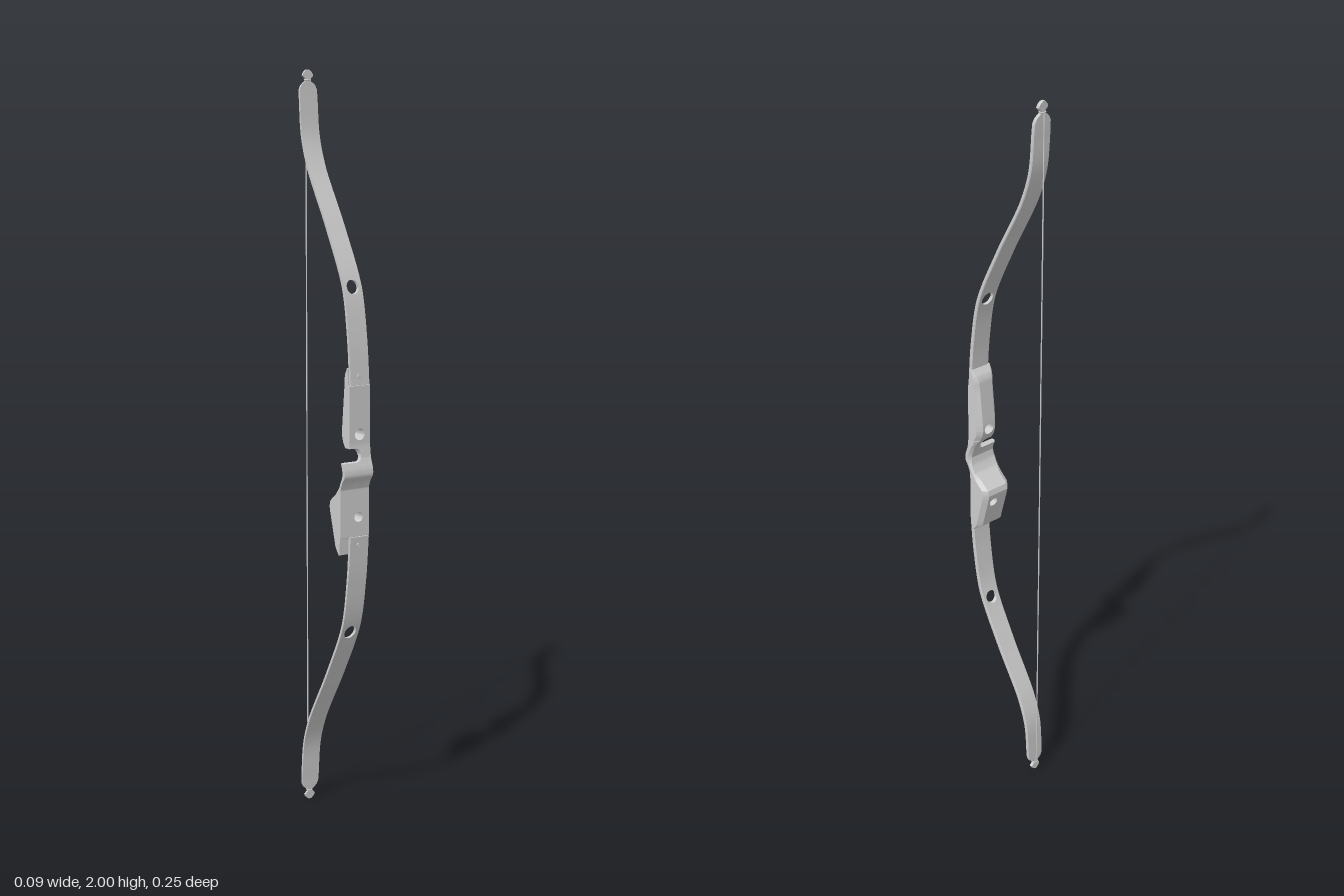
import * as THREE from 'three';
import { toCreasedNormals } from 'three/addons/utils/BufferGeometryUtils.js';

const material = new THREE.MeshStandardMaterial({ color: 0xcccccc, side: THREE.DoubleSide });

// Linear lookup in a table of [key, value] pairs with rising keys
function lookup(table, k) {
  if (k <= table[0][0]) return table[0][1];
  for (let i = 1; i < table.length; i++) {
    const [a, va] = table[i - 1], [b, vb] = table[i];
    if (k <= b) return va + (vb - va) * (k - a) / (b - a);
  }
  return table[table.length - 1][1];
}

// Closed solid through cross-sections of equal point count, stacked upwards
function loft(sections) {
  const pos = [], n = sections[0].length;
  const tri = (a, b, c) => pos.push(...a, ...b, ...c);
  for (let i = 0; i + 1 < sections.length; i++) {
    const lo = sections[i], hi = sections[i + 1];
    for (let j = 0; j < n; j++) {
      const k = (j + 1) % n;
      tri(lo[j], lo[k], hi[k]);
      tri(lo[j], hi[k], hi[j]);
    }
  }
  const bottom = sections[0], top = sections[sections.length - 1];
  for (let j = 1; j + 1 < n; j++) {
    tri(bottom[0], bottom[j + 1], bottom[j]);
    tri(top[0], top[j], top[j + 1]);
  }
  const geo = new THREE.BufferGeometry();
  geo.setAttribute('position', new THREE.Float32BufferAttribute(pos, 3));
  return toCreasedNormals(geo, 0.45);
}

// Heights for the rows: even steps, given break heights and fine steps at round holes
function rowHeights(y0, y1, count, breaks, holes) {
  const ys = [...breaks];
  for (let i = 0; i <= count; i++) ys.push(y0 + (y1 - y0) * i / count);
  for (const h of holes)
    for (let k = 0; k <= 12; k++) ys.push(h.y + h.r * Math.cos(Math.PI * k / 12));
  ys.sort((a, b) => a - b);
  return ys.filter((y, i) => y >= y0 && y <= y1 && (i === 0 || y - ys[i - 1] > 1e-6));
}

// Two side strips that meet in the middle and part around the holes.
// rule(y) gives { l, r, mid, front, back, bevel }
function splitBody(name, ys, holes, rule) {
  const left = [], right = [];
  for (const y of ys) {
    const { l, r, mid, front, back, bevel } = rule(y);
    let gap = 0;
    for (const h of holes) gap = Math.max(gap, Math.sqrt(Math.max(0, h.r ** 2 - (y - h.y) ** 2)));
    const c = Math.min(bevel, (front - back) * 0.4, (r - l) * 0.2);
    const a = mid - gap, b = mid + gap;
    left.push([[l, y, front], [a, y, front], [a, y, back], [l + c, y, back], [l, y, back + c]]);
    right.push([[b, y, front], [r, y, front], [r, y, back + c], [r - c, y, back], [b, y, back]]);
  }
  const group = new THREE.Group();
  group.name = name;
  for (const [side, sections] of [['RightHalf', left], ['LeftHalf', right]]) {
    const mesh = new THREE.Mesh(loft(sections), material);
    mesh.name = name + side;
    group.add(mesh);
  }
  return group;
}

// Recurve line of a limb: height from the middle against depth
const limbCurve = new THREE.CatmullRomCurve3([
  [0.20, 0.102], [0.32, 0.092], [0.45, 0.068], [0.60, 0.0], [0.75, -0.077],
  [0.83, -0.104], [0.92, -0.112], [1.0, -0.115],
].map(([h, z]) => new THREE.Vector3(0, h, z))).getPoints(120).map(p => [p.y, p.z]);
const limbCentre = [[0.2, 0.011], [0.45, 0.01], [0.6, 0.004], [0.75, -0.004], [1, -0.007]];
// Blade, rounded shoulder, string neck and nock
const limbHalfWidth = [
  [0.2, 0.029], [0.93, 0.027], [0.95, 0.026], [0.961, 0.021], [0.967, 0.014], [0.971, 0.008],
  [0.977, 0.008], [0.985, 0.016], [0.991, 0.014], [0.997, 0.008], [1, 0.004],
];

function makeLimb(name, sign, holeY) {
  const holes = [{ y: holeY, r: 0.018 }];
  const ends = [1 + sign * 0.2, 1 + sign].sort((a, b) => a - b);
  const breaks = limbHalfWidth.map(([h]) => 1 + sign * h);
  return splitBody(name, rowHeights(ends[0], ends[1], 60, breaks, holes), holes, y => {
    const h = Math.abs(y - 1), z = lookup(limbCurve, h);
    const slope = (lookup(limbCurve, h + 0.01) - lookup(limbCurve, h - 0.01)) / 0.02;
    const t = (0.0055 - 0.0015 * h) * Math.hypot(1, slope);
    const mid = lookup(limbCentre, h), w = lookup(limbHalfWidth, h);
    return { l: mid - w, r: mid + w, mid, front: z + t, back: z - t, bevel: 0.002 };
  });
}

// Riser depth lines; the front steps back where the limbs are seated
const riserFront = [
  [0.755, 0.097], [0.799, 0.099], [0.801, 0.103], [0.93, 0.102], [0.95, 0.11], [0.963, 0.12],
  [0.972, 0.122], [0.985, 0.12], [1.01, 0.111], [1.04, 0.107], [1.199, 0.106], [1.201, 0.1],
  [1.245, 0.098],
];
const riserBack = [
  [0.755, 0.09], [0.765, 0.076], [0.775, 0.066], [0.865, 0.041], [0.88, 0.038], [0.895, 0.042],
  [0.915, 0.067], [0.935, 0.09], [0.955, 0.1], [0.975, 0.104], [0.99, 0.1], [1.013, 0.09],
  [1.05, 0.066], [1.065, 0.061], [1.09, 0.061], [1.215, 0.073], [1.23, 0.079], [1.245, 0.092],
];

function makeRiser() {
  const holes = [{ y: 1.072, r: 0.015 }, { y: 0.852, r: 0.013 }];
  const notch = { x: -0.005, y: 1.018, r: 0.018 };
  const shelf = notch.y - notch.r;
  const breaks = [...riserFront, ...riserBack].map(p => p[0]);
  breaks.push(shelf - 1e-4, shelf + 1e-4, notch.y + notch.r + 1e-4);
  const ys = rowHeights(0.755, 1.245, 40, breaks, [...holes, notch]);
  return splitBody('riser', ys, holes, y => {
    // Wide grip, arrow shelf with round notch, narrow sight window
    let l = -0.022;
    if (y < shelf) l = -0.046;
    else if (y <= notch.y + notch.r)
      l = notch.x + Math.sqrt(Math.max(0, notch.r ** 2 - (y - notch.y) ** 2));
    return {
      l, r: 0.043, mid: Math.max(0.01, l + 0.008),
      front: lookup(riserFront, y), back: lookup(riserBack, y), bevel: 0.012,
    };
  });
}

export function createModel() {
  const model = new THREE.Group();
  model.name = 'recurveBow';
  model.add(makeRiser(), makeLimb('upperLimb', 1, 1.45), makeLimb('lowerLimb', -1, 0.53));

  // Bowstring with a loop around each nock
  const string = new THREE.Mesh(new THREE.CylinderGeometry(0.0018, 0.0018, 1.948, 8), material);
  string.name = 'bowstring';
  string.position.set(-0.007, 1, -0.121);
  model.add(string);
  for (const sign of [1, -1]) {
    const loop = new THREE.Mesh(new THREE.TorusGeometry(0.0075, 0.0018, 6, 16), material);
    loop.name = 'stringLoop';
    loop.rotation.x = Math.PI / 2;
    loop.position.set(-0.007, 1 + sign * 0.974, -0.1145);
    model.add(loop);

    // Limb bolt
    const bolt = new THREE.Mesh(new THREE.CylinderGeometry(0.006, 0.006, 0.012, 16), material);
    bolt.name = 'limbBolt';
    bolt.rotation.x = Math.PI / 2;
    bolt.position.set(0.008, 1 + sign * 0.222, 0.1025);
    model.add(bolt);
  }
  return model;
}
